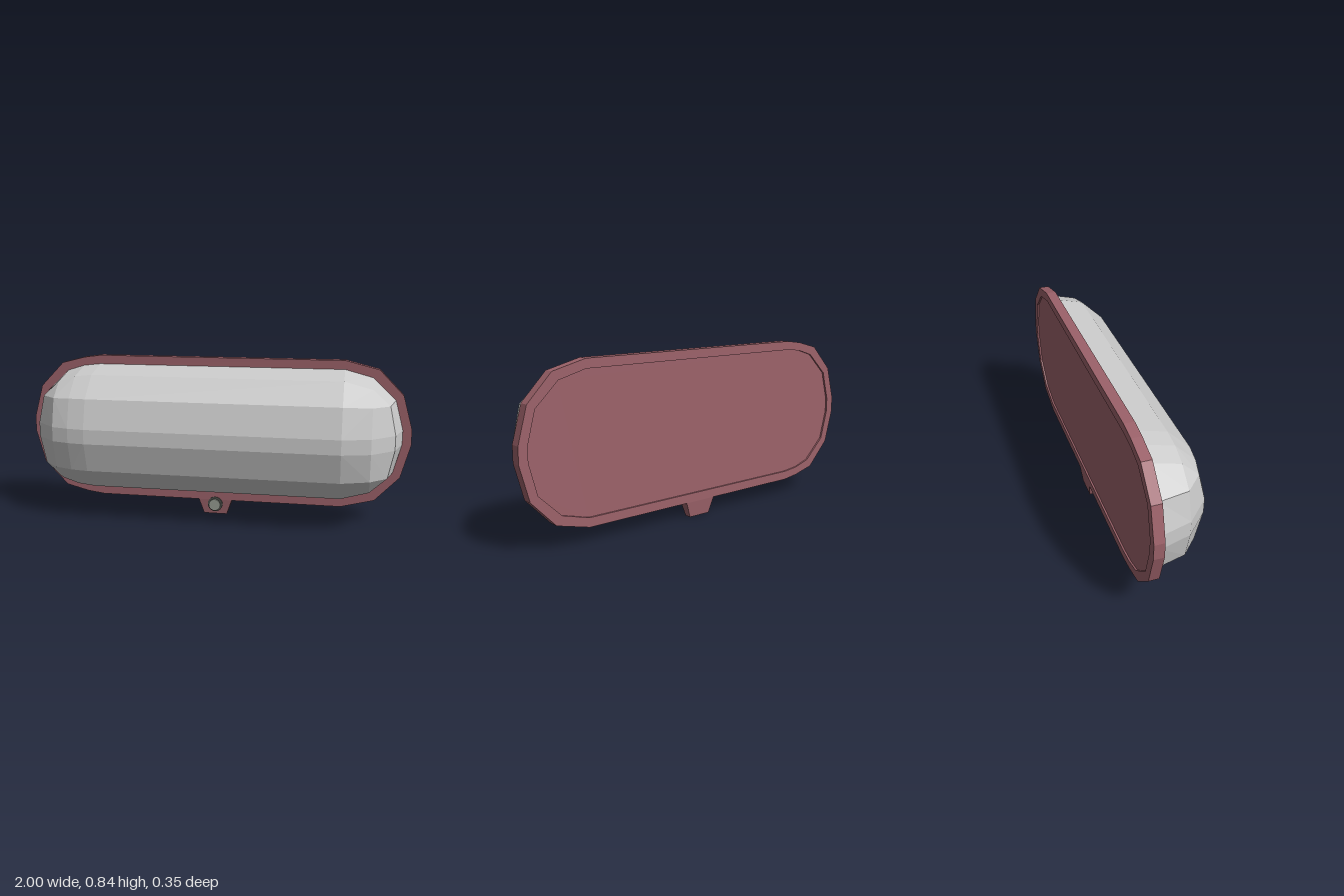
import * as THREE from 'three';

const CY = 0.4585; // height of the lamp's centre line

// Quarter outlines as [x, dy, z], from the long edge round to the end.
const frameRight = [[0.66, 0.38], [0.83, 0.337], [0.953, 0.21], [1, 0.04]];
const frameLeft = [[0.62, 0.38], [0.71, 0.368], [0.83, 0.337], [0.953, 0.21], [1, 0.04]];
const lensRight = [
  [[0.66, 0.335, -0.125], [0.8, 0.297, -0.125], [0.915, 0.187, -0.125], [0.955, 0.037, -0.125]],
  [[0.66, 0.295, 0.025], [0.8, 0.257, 0.02], [0.885, 0.18, 0.02], [0.915, 0.037, 0.025]],
  [[0.66, 0.186, 0.135], [0.8, 0.181, 0.1], [0.8, 0.181, 0.1], [0.8, 0.037, 0.135]],
  [[0.66, 0.037, 0.175], [0.66, 0.037, 0.175], [0.66, 0.037, 0.175], [0.66, 0.037, 0.175]],
];
// The left end has one extra step between the straight run and the curve.
const leftStep = [
  [[0.62, 0.335, -0.125], [0.71, 0.325, -0.125]],
  [[0.62, 0.295, 0.025], [0.71, 0.285, 0.024]],
  [[0.62, 0.186, 0.135], [0.71, 0.185, 0.123]],
  [[0.62, 0.037, 0.175], [0.71, 0.037, 0.162]],
];

// Mirrors the two quarter outlines into one counter-clockwise loop.
function loop(right, left) {
  const flip = (pts, sx, sy) => pts.map(([x, dy, z = 0]) => [x * sx, CY + dy * sy, z]);
  return [
    ...flip(right, 1, 1).reverse(), ...flip(left, -1, 1),
    ...flip(left, -1, -1).reverse(), ...flip(right, 1, -1),
  ];
}

// Joins successive loops with quads, outermost loop first.
function skin(rings) {
  const pos = [];
  for (let k = 0; k < rings.length - 1; k++) {
    const n = rings[k].length;
    for (let j = 0; j < n; j++) {
      const a = rings[k][j], b = rings[k][(j + 1) % n];
      const c = rings[k + 1][(j + 1) % n], d = rings[k + 1][j];
      pos.push(...a, ...b, ...c, ...a, ...c, ...d);
    }
  }
  const g = new THREE.BufferGeometry();
  g.setAttribute('position', new THREE.Float32BufferAttribute(pos, 3));
  g.computeVertexNormals();
  return g;
}

const toPoints = (ring) => ring.map(([x, y]) => new THREE.Vector2(x, y));

function plate(outline, depth, z, hole) {
  const shape = new THREE.Shape(toPoints(outline));
  if (hole) shape.holes.push(new THREE.Path(toPoints(hole)));
  return new THREE.ExtrudeGeometry(shape, { depth, bevelEnabled: false }).translate(0, 0, z);
}

export function createModel() {
  const group = new THREE.Group();
  group.name = 'wallLamp';
  const mat = (color) => new THREE.MeshStandardMaterial({ color, flatShading: true });
  const red = mat(0x9c626a), grey = mat(0xcccccc), dark = mat(0x4a4d48), steel = mat(0x969c92);
  const add = (name, geometry, material) => {
    const mesh = new THREE.Mesh(geometry, material);
    mesh.name = name;
    group.add(mesh);
    return mesh;
  };

  // Faceted lens: nested rings, the last closing on the centre line.
  const rings = lensRight.map((right, i) => {
    const end = i === 3 ? Array(3).fill(leftStep[3][1]) : right.slice(1);
    return loop(right, [...leftStep[i], ...end]);
  });
  rings.push(rings[3].map(([x, , z]) => [x, CY, z]));
  add('lens', skin(rings), grey);

  // Rim frame, with the back panel slightly recessed in it.
  const opening = rings[0];
  add('frame', plate(loop(frameRight, frameLeft), 0.05, -0.173, opening), red);
  add('backPanel', plate(opening, 0.037, -0.164), red);

  // Tapered lug below the frame: the bottom of a box narrowed in x and z.
  const lug = new THREE.BoxGeometry(0.18, 0.082, 0.05).translate(0, 0.041, 0);
  const p = lug.attributes.position;
  for (let i = 0; i < p.count; i++) {
    if (p.getY(i) < 0.01) p.setXYZ(i, p.getX(i) * 0.68, 0, p.getZ(i) * 0.68);
  }
  lug.translate(0, 0, -0.148);
  add('mountingLug', lug, red);

  // Screw on the lug: washer, neck and head along z.
  const disc = (name, r, z0, z1, material) => add(name,
    new THREE.CylinderGeometry(r, r, z1 - z0, 16).rotateX(Math.PI / 2).translate(0, 0.055, (z0 + z1) / 2), material);
  disc('screwWasher', 0.04, -0.135, -0.118, dark);
  disc('screwNeck', 0.024, -0.118, -0.107, steel);
  disc('screwHead', 0.031, -0.109, -0.1, steel);
  return group;
}
